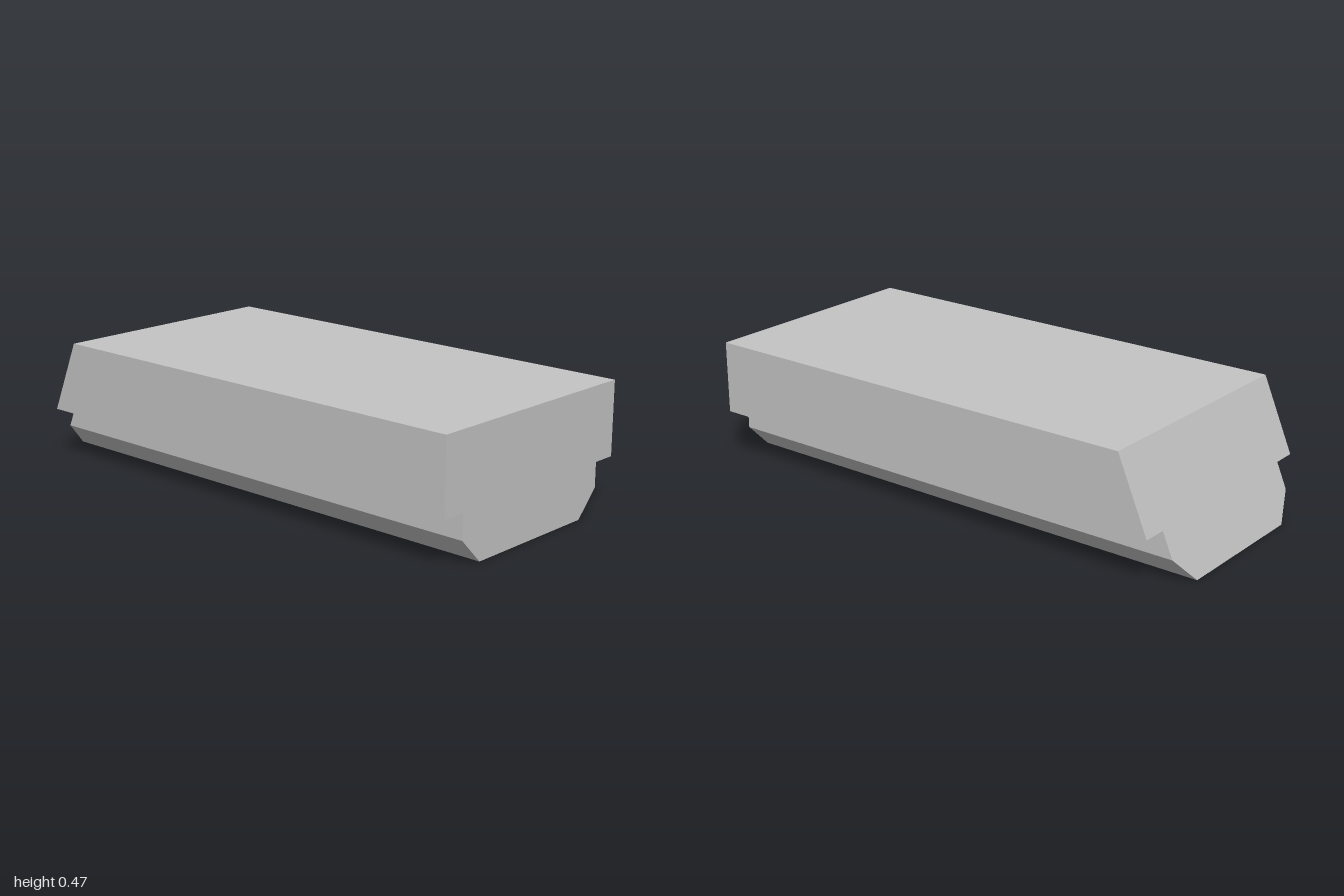
import * as THREE from 'three';

const H = 0.467;
// Half of the cross-section as [z, y], from the bottom lip up to the roof edge
const half = [[0.28, 0], [0.373, 0.095], [0.373, 0.189], [H, 0.189], [H, H]];
const profile = [...half, ...half.map(([z, y]) => [-z, y]).reverse()];

// The left end leans inward toward the top
const slantX = (y) => -1 + (0.2 * y) / H;

// Folded skin running lengthwise, open underneath
function skinGeometry() {
  const pos = [];
  for (let i = 0; i < profile.length - 1; i++) {
    const [za, ya] = profile[i];
    const [zb, yb] = profile[i + 1];
    const aL = [slantX(ya), ya, za], aR = [1, ya, za];
    const bL = [slantX(yb), yb, zb], bR = [1, yb, zb];
    pos.push(...aL, ...aR, ...bR, ...aL, ...bR, ...bL);
  }
  const geo = new THREE.BufferGeometry();
  geo.setAttribute('position', new THREE.Float32BufferAttribute(pos, 3));
  geo.computeVertexNormals();
  return geo;
}

// Flat end panel cut to the cross-section; xAt gives its x at each height
function endGeometry(side, xAt) {
  const shape = new THREE.Shape(profile.map(([z, y]) => new THREE.Vector2(z, y)));
  const geo = new THREE.ShapeGeometry(shape);
  geo.rotateY((side * Math.PI) / 2);
  const p = geo.attributes.position;
  for (let i = 0; i < p.count; i++) p.setX(i, xAt(p.getY(i)));
  geo.computeVertexNormals();
  return geo;
}

export function createModel() {
  const grey = new THREE.MeshStandardMaterial({ color: 0xc4c4c4, side: THREE.DoubleSide });
  grey.name = 'light grey';

  const group = new THREE.Group();
  group.name = 'openShell';
  const add = (name, geo) => {
    const mesh = new THREE.Mesh(geo, grey);
    mesh.name = name;
    group.add(mesh);
  };
  add('foldedSkin', skinGeometry());
  add('squareEnd', endGeometry(1, () => 1));
  add('slantedEnd', endGeometry(-1, slantX));
  return group;
}
